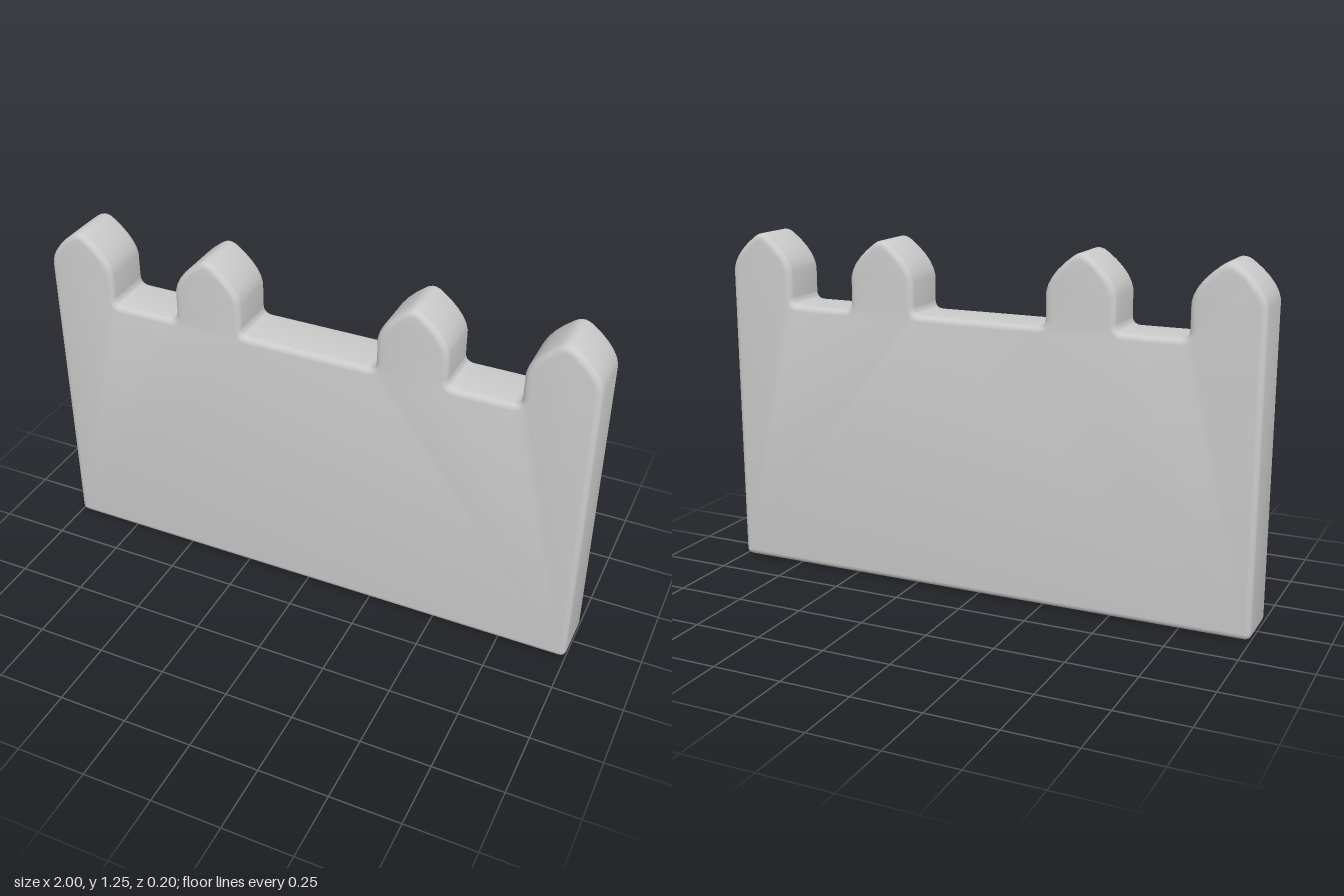
import * as THREE from 'three';
import { toCreasedNormals } from 'three/addons/utils/BufferGeometryUtils.js';

const DEPTH = 0.2, BEVEL = 0.022, CORNER = 0.026, FILLET = 0.03;
const HALF = 0.125, WALL_TOP = 1, SHOULDER = 1.12;

// One merlon traced from right to left: fillet, side, pointed arch, side, fillet
function traceMerlon(s, c) {
  if (c + HALF < 0.99) {
    s.lineTo(c + HALF + FILLET, WALL_TOP);
    s.quadraticCurveTo(c + HALF, WALL_TOP, c + HALF, WALL_TOP + FILLET);
  }
  s.lineTo(c + HALF, SHOULDER);
  s.quadraticCurveTo(c + 0.115, 1.181, c + 0.03, 1.243);
  s.quadraticCurveTo(c, 1.266, c - 0.03, 1.243);
  s.quadraticCurveTo(c - 0.115, 1.181, c - HALF, SHOULDER);
  if (c - HALF > -0.99) {
    s.lineTo(c - HALF, WALL_TOP + FILLET);
    s.quadraticCurveTo(c - HALF, WALL_TOP, c - HALF - FILLET, WALL_TOP);
  }
}

export function createModel() {
  const group = new THREE.Group();
  group.name = 'battlementWall';

  // Wall outline with rounded bottom corners and four merlons
  const s = new THREE.Shape();
  s.moveTo(-1 + CORNER, 0);
  s.lineTo(1 - CORNER, 0);
  s.quadraticCurveTo(1, 0, 1, CORNER);
  for (const c of [0.875, 0.375, -0.375, -0.875]) traceMerlon(s, c);
  s.lineTo(-1, CORNER);
  s.quadraticCurveTo(-1, 0, -1 + CORNER, 0);

  // Extruded slab; the bevel is inset so the outline keeps its size
  const geo = new THREE.ExtrudeGeometry(s, {
    depth: DEPTH - 2 * BEVEL,
    bevelEnabled: true,
    bevelThickness: BEVEL,
    bevelSize: BEVEL,
    bevelOffset: -BEVEL,
    bevelSegments: 4,
    curveSegments: 5,
  });
  geo.translate(0, 0, BEVEL - DEPTH / 2);

  const wall = new THREE.Mesh(
    toCreasedNormals(geo, 0.6),
    new THREE.MeshStandardMaterial({ color: 0xcccccc })
  );
  wall.name = 'crenellatedWall';
  group.add(wall);
  return group;
}
